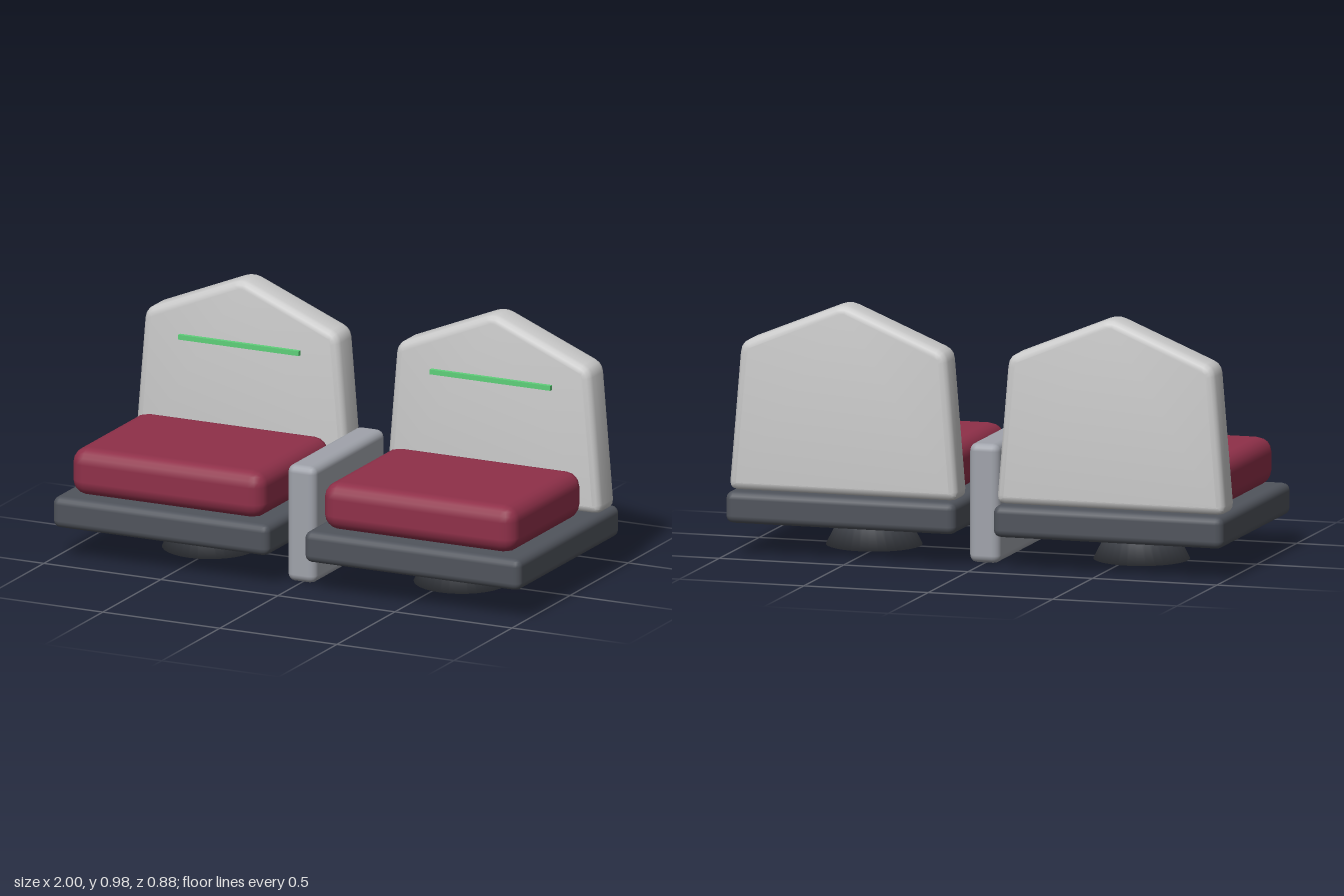
import * as THREE from 'three';
import { toCreasedNormals } from 'three/addons/utils/BufferGeometryUtils.js';
import { RoundedBoxGeometry } from 'three/addons/geometries/RoundedBoxGeometry.js';

const material = (color) => new THREE.MeshStandardMaterial({ color });

function addMesh(parent, name, geometry, mat, x, y, z) {
  const mesh = new THREE.Mesh(geometry, mat);
  mesh.name = name;
  mesh.position.set(x, y, z);
  parent.add(mesh);
  return mesh;
}

// Closed polygon with each corner softened by a short curve
function softPolygon(points, r) {
  const shape = new THREE.Shape();
  const v = points.map(([x, y]) => new THREE.Vector2(x, y));
  v.forEach((p, i) => {
    const prev = v[(i + v.length - 1) % v.length];
    const next = v[(i + 1) % v.length];
    const a = prev.clone().sub(p).setLength(r).add(p);
    const b = next.clone().sub(p).setLength(r).add(p);
    if (i === 0) shape.moveTo(a.x, a.y);
    else shape.lineTo(a.x, a.y);
    shape.quadraticCurveTo(p.x, p.y, b.x, b.y);
  });
  shape.closePath();
  return shape;
}

// Gabled backrest slab with rounded edges, centred in depth
function backrestGeometry() {
  const bevel = 0.03, depth = 0.142;
  const outline = softPolygon(
    [[-0.461, 0.25], [0.461, 0.25], [0.413, 0.822], [0, 0.992], [-0.413, 0.822]], 0.035);
  const geometry = new THREE.ExtrudeGeometry(outline, {
    depth: depth - 2 * bevel, curveSegments: 3,
    bevelThickness: bevel, bevelSize: bevel, bevelOffset: -bevel, bevelSegments: 3,
  });
  geometry.translate(0, 0, bevel - depth / 2);
  return toCreasedNormals(geometry, 0.7);
}

export function createModel() {
  const model = new THREE.Group();
  model.name = 'doubleSeat';

  const dark = material(0x50545c);
  const red = material(0x8f3049);
  const green = material(0x5fd07a);
  const midGrey = material(0xa0a3ab);
  const grey = material(0xcccccc);

  // Flared pedestal, wider at the floor
  const pedestal = new THREE.LatheGeometry(
    [[0, 0], [0.185, 0], [0.12, 0.13]].map(([x, y]) => new THREE.Vector2(x, y)), 32);
  const base = new RoundedBoxGeometry(0.925, 0.124, 0.875, 2, 0.03);
  const cushion = new RoundedBoxGeometry(0.825, 0.187, 0.62, 2, 0.06);
  const backrest = backrestGeometry();
  const strip = new THREE.BoxGeometry(0.515, 0.019, 0.02);

  // Two identical seats side by side
  for (const side of [-1, 1]) {
    const seat = new THREE.Group();
    seat.name = side < 0 ? 'rightSeat' : 'leftSeat';
    seat.position.x = side * 0.5375;
    addMesh(seat, 'pedestal', pedestal, dark, 0, 0, 0);
    addMesh(seat, 'seatBase', base, dark, 0, 0.187, 0);
    addMesh(seat, 'cushion', cushion, red, 0, 0.342, 0.083);
    addMesh(seat, 'backrest', backrest, grey, 0, 0, -0.33);
    addMesh(seat, 'lightStrip', strip, green, 0, 0.735, -0.252);
    model.add(seat);
  }

  // Divider between the seats
  addMesh(model, 'armrest', new RoundedBoxGeometry(0.123, 0.464, 0.616, 2, 0.03),
    midGrey, 0, 0.232, 0);

  return model;
}
